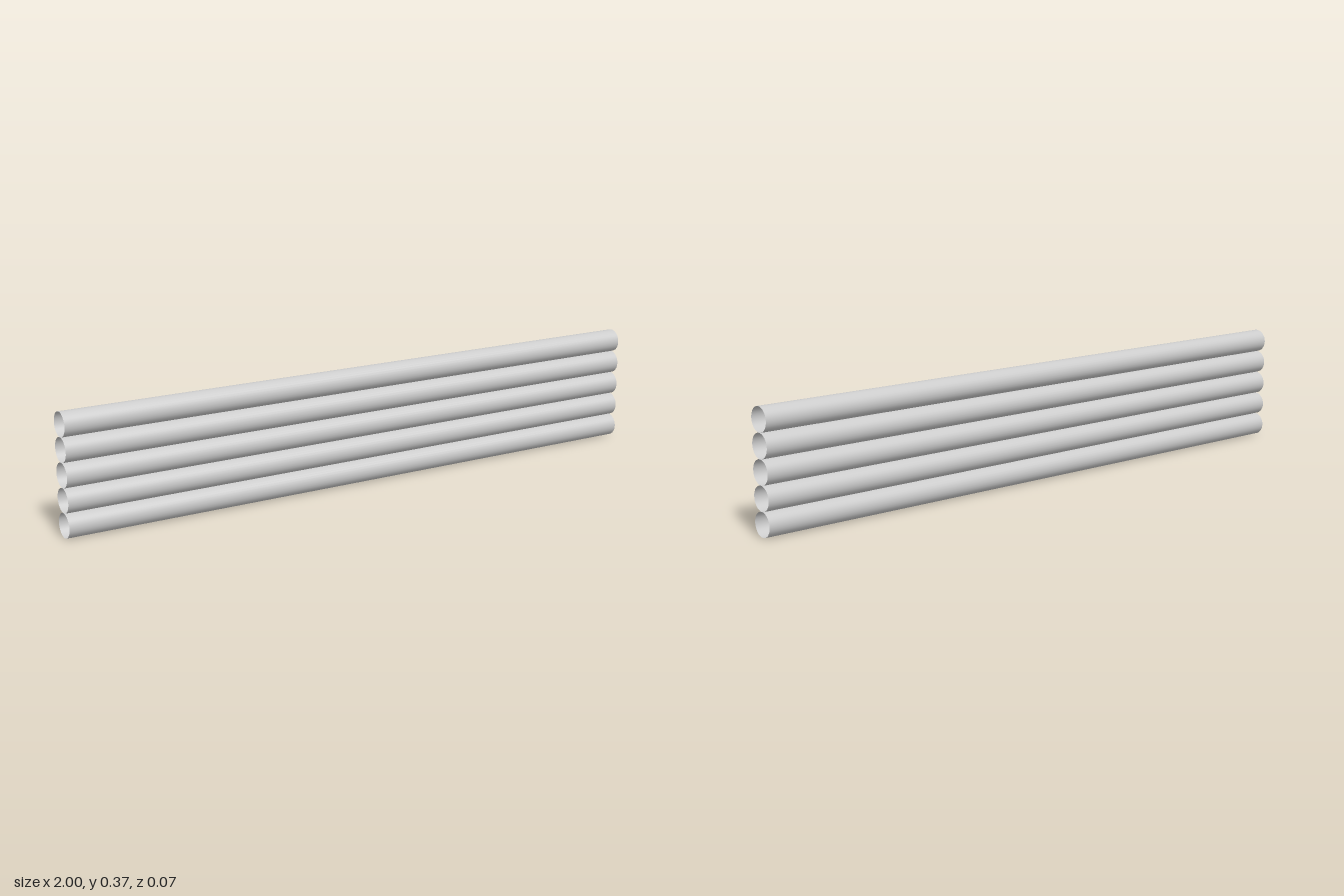
import * as THREE from 'three';

const LENGTH = 2;
const RADIUS = 0.0365;
const COUNT = 5;

export function createModel() {
  const group = new THREE.Group();
  group.name = 'logWall';

  const material = new THREE.MeshStandardMaterial({ color: 0xcccccc, side: THREE.DoubleSide });

  // Open-ended round log lying along x
  const geometry = new THREE.CylinderGeometry(RADIUS, RADIUS, LENGTH, 32, 1, true);
  geometry.rotateZ(Math.PI / 2);

  // Logs stacked one on another, each touching the next
  for (let i = 0; i < COUNT; i++) {
    const log = new THREE.Mesh(geometry, material);
    log.name = `log${i + 1}`;
    log.position.y = RADIUS * (2 * i + 1);
    group.add(log);
  }
  return group;
}
